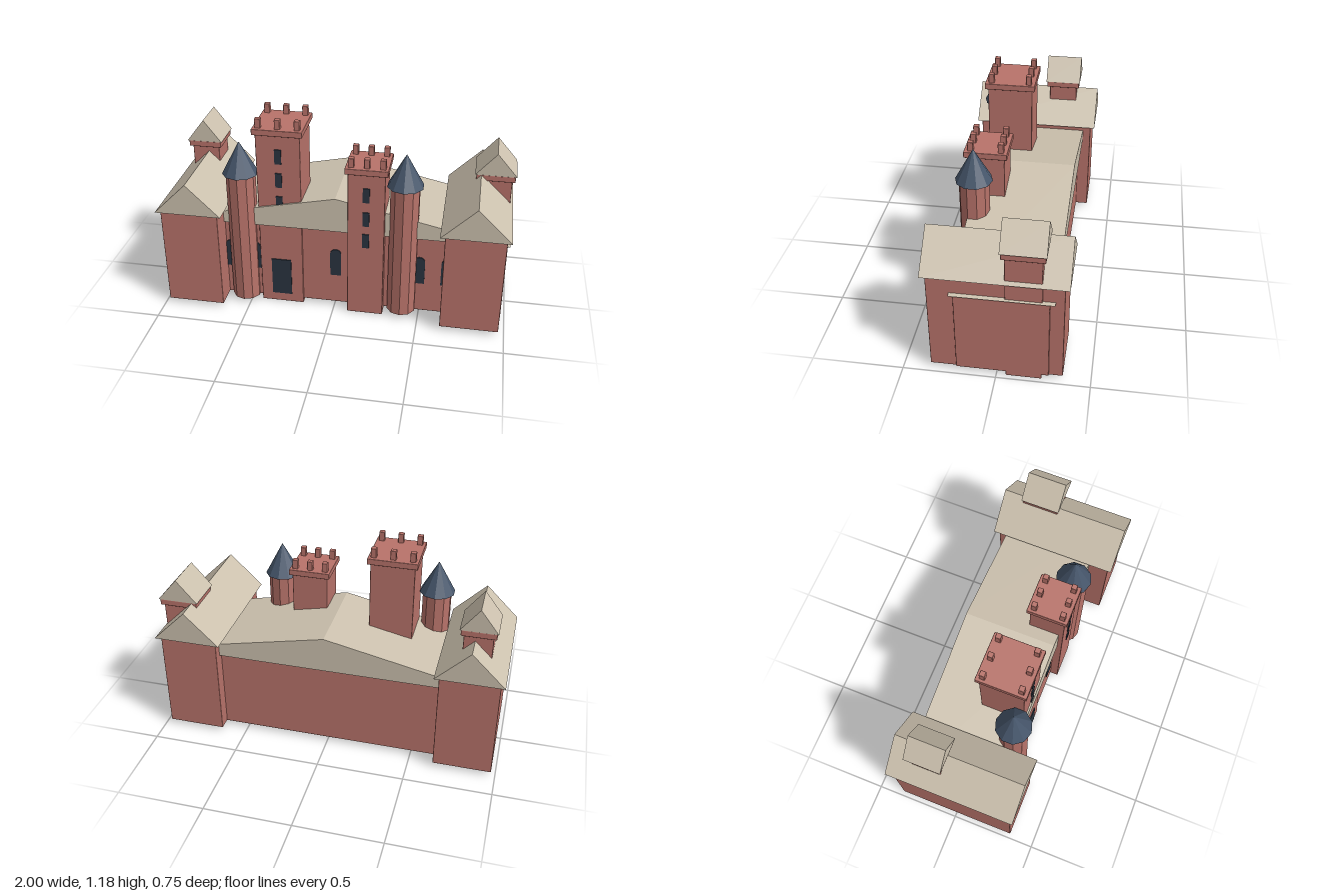
import * as THREE from 'three';
import { RoundedBoxGeometry } from 'three/addons/geometries/RoundedBoxGeometry.js';

const material = (name, color) => {
  const m = new THREE.MeshStandardMaterial({ color });
  m.name = name;
  return m;
};

export function createModel() {
  const model = new THREE.Group();
  model.name = 'castle';
  const brick = material('red brick', 0xb8736a);
  const tile = material('pale roof', 0xcdc2af);
  const slate = material('blue slate', 0x46566b);
  const glass = material('dark glass', 0x2a3440);

  const add = (parent, name, geometry, mat) => {
    const mesh = new THREE.Mesh(geometry, mat);
    mesh.name = name;
    parent.add(mesh);
    return mesh;
  };
  const group = (name) => {
    const g = new THREE.Group();
    g.name = name;
    model.add(g);
    return g;
  };
  // Block with softened edges, given by its limits on each axis
  const block = (parent, name, x0, x1, y0, y1, z0, z1) =>
    add(parent, name, new RoundedBoxGeometry(x1 - x0, y1 - y0, z1 - z0, 1, 0.004), brick)
      .position.set((x0 + x1) / 2, (y0 + y1) / 2, (z0 + z1) / 2);
  // Gabled roof with its ridge along z
  const gable = (parent, name, x0, x1, y0, y1, z0, z1) => {
    const shape = new THREE.Shape();
    shape.moveTo(x0, y0);
    shape.lineTo(x1, y0);
    shape.lineTo((x0 + x1) / 2, y1);
    shape.closePath();
    add(parent, name, new THREE.ExtrudeGeometry(shape, { depth: z1 - z0, bevelEnabled: false }), tile)
      .position.z = z0;
  };
  // Thin dark pane on a front wall; arched ones have a round head
  const pane = (parent, name, x, y0, y1, z, w, arched) => {
    const r = w / 2;
    const shape = new THREE.Shape();
    shape.moveTo(x - r, y0);
    shape.lineTo(x + r, y0);
    if (arched) {
      shape.lineTo(x + r, y1 - r);
      shape.absarc(x, y1 - r, r, 0, Math.PI, false);
    } else {
      shape.lineTo(x + r, y1);
      shape.lineTo(x - r, y1);
    }
    shape.closePath();
    add(parent, name, new THREE.ExtrudeGeometry(shape,
      { depth: 0.008, bevelEnabled: false, curveSegments: 8 }), glass).position.z = z - 0.002;
  };

  // Main hall with its wide low roof and arched windows
  const hall = group('mainHall');
  block(hall, 'hallWalls', -0.95, 0.976, 0.03, 0.525, -0.278, 0.215);
  gable(hall, 'hallRoof', -0.97, 0.99, 0.525, 0.735, -0.305, 0.235);
  for (const x of [-0.615, -0.468, 0.01, 0.495, 0.652])
    pane(hall, 'archedWindow', x, 0.22, 0.395, 0.215, 0.064, true);

  // End wings
  const wings = [
    ['rightWing', -0.976, -0.643, -1.0, -0.617],
    ['leftWing', 0.634, 0.967, 0.607, 0.993],
  ];
  for (const [name, x0, x1, r0, r1] of wings) {
    const wing = group(name);
    block(wing, 'wingWalls', x0, x1, 0.03, 0.62, -0.352, 0.354);
    gable(wing, 'wingRoof', r0, r1, 0.63, 0.82, -0.377, 0.377);
  }

  // Small gabled towers rising through the wings
  const gabledTowers = [
    ['rightGabledTower', -0.825, 0.08, -0.16, 0.085, 0.85],
    ['leftGabledTower', 0.882, 0.094, -0.145, 0.095, 0.785],
  ];
  for (const [name, x, hw, z, hd, top] of gabledTowers) {
    const tower = group(name);
    block(tower, 'towerShaft', x - hw, x + hw, 0.003, top + 0.01, z - hd, z + hd);
    block(tower, 'towerCap', x - hw - 0.016, x + hw + 0.016, top, top + 0.036, z - hd - 0.016, z + hd + 0.016);
    gable(tower, 'towerRoof', x - hw - 0.023, x + hw + 0.023, top + 0.038, top + 0.173, z - hd - 0.021, z + hd + 0.021);
  }

  // Square front towers with crenellated tops
  const squareTowers = [
    ['tallTower', -0.436, -0.185, -0.031, 0.225, 1.09, [0.92, 0.775, 0.63]],
    ['shortTower', 0.085, 0.293, 0.055, 0.262, 0.915, [0.745, 0.595, 0.455]],
  ];
  for (const [name, x0, x1, z0, z1, top, sills] of squareTowers) {
    const tower = group(name);
    const e = 0.016;
    block(tower, 'towerShaft', x0, x1, 0.003, top + 0.01, z0, z1);
    block(tower, 'towerCap', x0 - e, x1 + e, top, top + 0.036, z0 - e, z1 + e);
    for (const x of [x0 + e, (x0 + x1) / 2, x1 - e])
      for (const z of [z0 + 0.02, z1 - 0.02])
        block(tower, 'merlon', x - e, x + e, top + 0.03, top + 0.09, z - e, z + e);
    for (const y of sills)
      pane(tower, 'towerWindow', (x0 + x1) / 2, y, y + 0.088, z1, 0.038, false);
  }
  pane(model.getObjectByName('tallTower'), 'door', -0.312, 0.06, 0.297, 0.225, 0.116, false);

  // Ten-sided turrets with pointed slate roofs
  brick.flatShading = false;
  for (const [name, x] of [['rightTurret', -0.535], ['leftTurret', 0.397]]) {
    const turret = group(name);
    const shaft = new THREE.CylinderGeometry(0.084, 0.084, 0.81, 10).toNonIndexed();
    const cone = new THREE.ConeGeometry(0.103, 0.19, 10).toNonIndexed();
    shaft.computeVertexNormals();
    cone.computeVertexNormals();
    add(turret, 'turretShaft', shaft, brick).position.set(x, 0.435, 0.204);
    add(turret, 'turretRoof', cone, slate).position.set(x, 0.935, 0.204);
  }

  return model;
}
